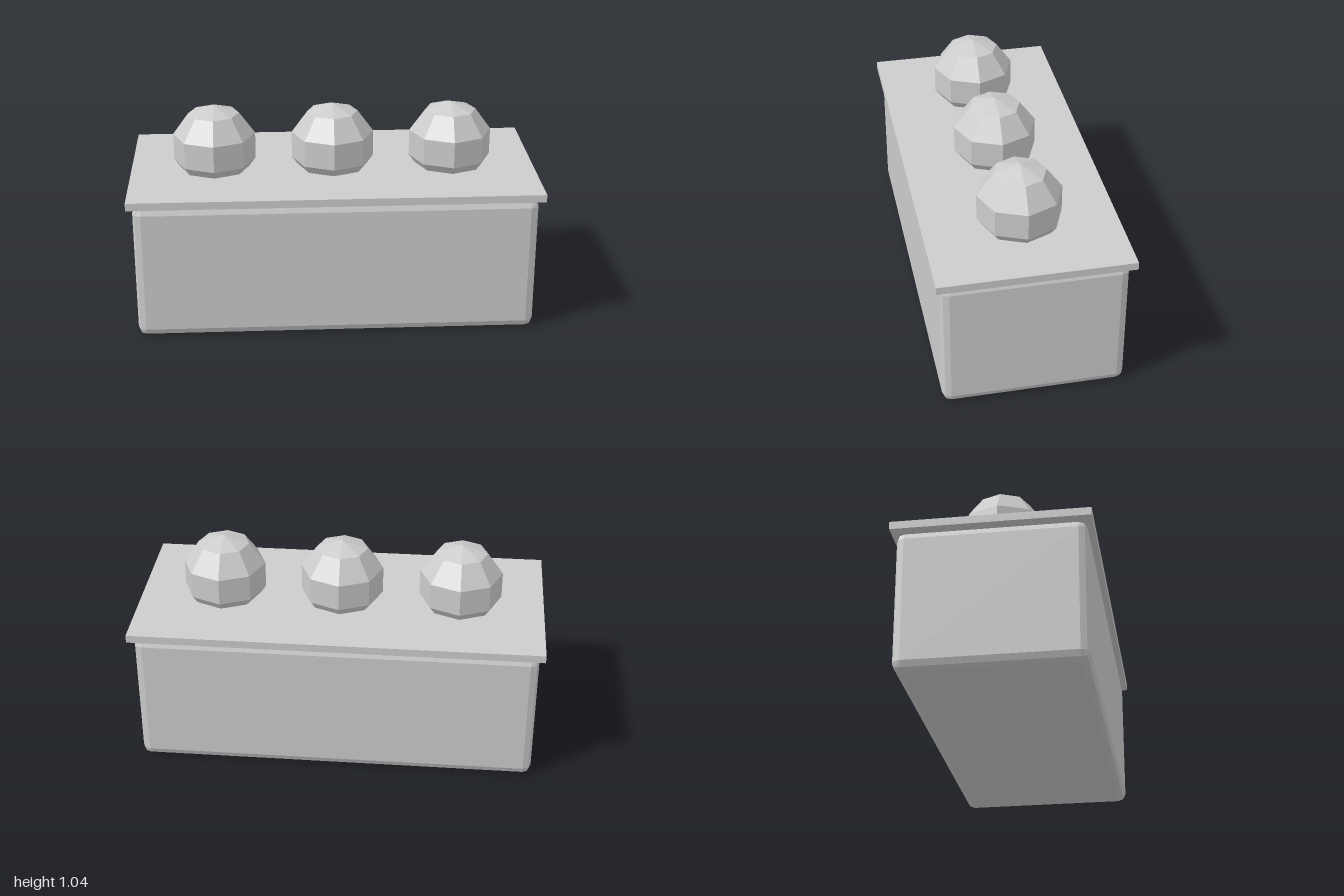
import * as THREE from 'three';
import { RoundedBoxGeometry } from 'three/addons/geometries/RoundedBoxGeometry.js';

export function createModel() {
  const model = new THREE.Group();
  const grey = new THREE.MeshStandardMaterial({ color: 0xcccccc, flatShading: true });
  grey.name = 'light grey';

  const add = (name, geometry, x, y, z) => {
    const mesh = new THREE.Mesh(geometry, grey);
    mesh.name = name;
    mesh.position.set(x, y, z);
    model.add(mesh);
  };

  // Planter box with a two-step bevel on every edge
  add('box', new RoundedBoxGeometry(1.948, 0.685, 0.876, 1, 0.04), 0, 0.3425, 0);

  // Thin overhanging slab on top
  add('topSlab', new THREE.BoxGeometry(2, 0.038, 0.924), 0, 0.704, 0);

  // Three faceted balls, sunk into the slab
  const ball = new THREE.SphereGeometry(0.213, 8, 5);
  [['rightBall', -0.586], ['middleBall', 0], ['leftBall', 0.586]].forEach(([name, x]) => {
    add(name, ball, x, 0.83, 0);
  });

  return model;
}
